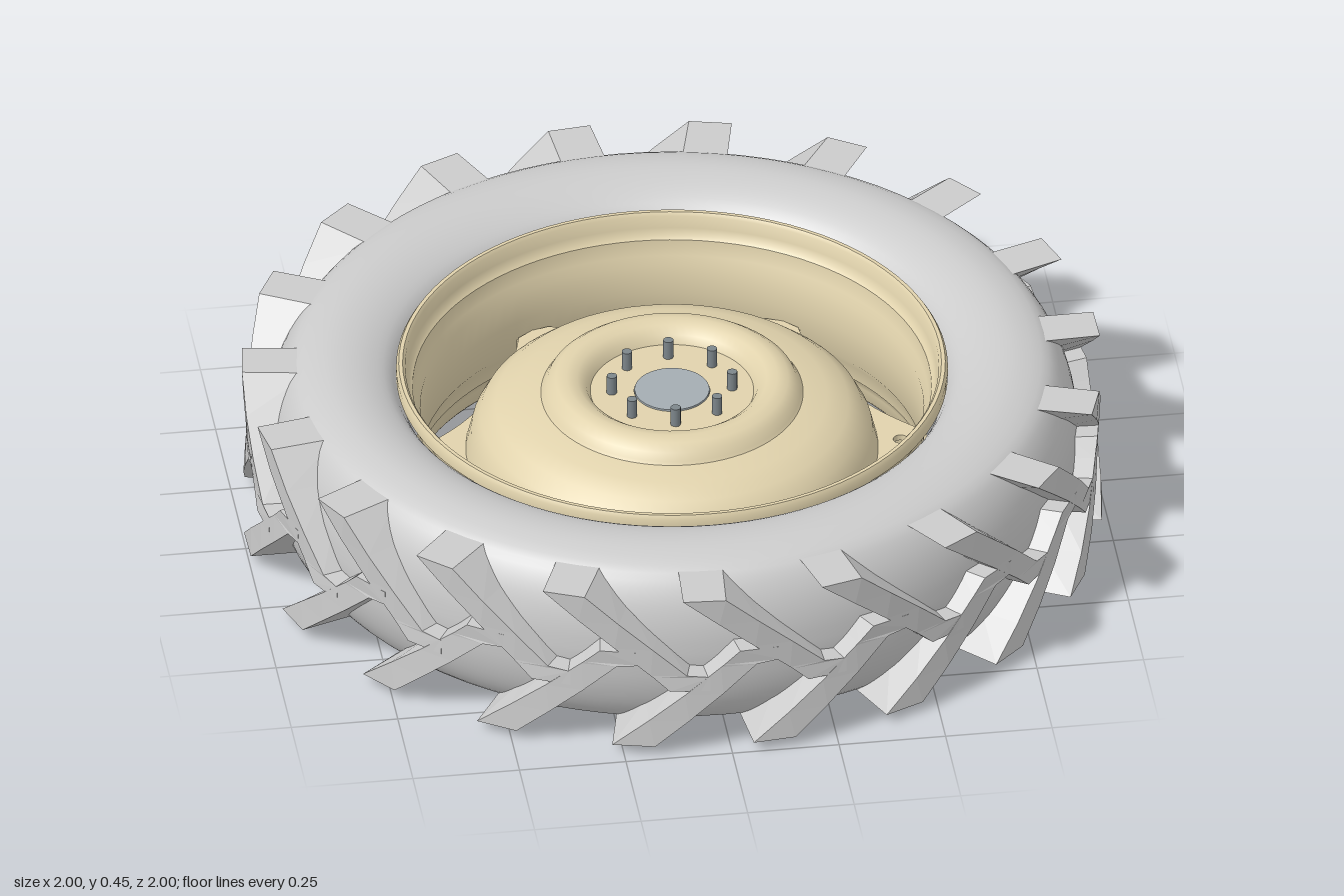
import * as THREE from 'three';
import { toCreasedNormals } from 'three/addons/utils/BufferGeometryUtils.js';

const MID = 0.2275; // height of the wheel's middle plane
const LUGS = 19;
const BOLT_ANGLE = 0.075;

const material = (color, side = THREE.FrontSide) => new THREE.MeshStandardMaterial({ color, side });
const rubber = material(0xcccccc);
const paint = material(0xe0d2ac, THREE.DoubleSide);
const steel = material(0xa4adb2);
const darkSteel = material(0x7d868b);

function add(parent, name, geometry, mat, x = 0, y = 0, z = 0) {
  const mesh = new THREE.Mesh(geometry, mat);
  mesh.name = name;
  mesh.position.set(x, y, z);
  parent.add(mesh);
  return mesh;
}

const toPoints = (list) => list.map(([r, y]) => new THREE.Vector2(r, y));

// Completes an upper half profile (middle plane first) with its mirror below
function mirrored(upper) {
  const lower = upper.slice(1).reverse().map((p) => new THREE.Vector2(p.x, 2 * MID - p.y));
  return [...lower, ...upper];
}

function hole(x, y, r) {
  return new THREE.Path().absarc(x, y, r, 0, Math.PI * 2, true);
}

// Flat plate from a shape drawn in x and z, its top at y = 0
function plate(shape, depth) {
  const geometry = new THREE.ExtrudeGeometry(shape, { depth, bevelEnabled: false, curveSegments: 16 });
  return geometry.rotateX(Math.PI / 2);
}

// Tread bar swept through level slices [height, start angle, end angle]
function lugGeometry(flip) {
  const slices = [
    [0.43, -0.05, 0.05], [0.36, 0.035, 0.13], [0.29, 0.12, 0.21],
    [0.217, 0.205, 0.29], [0.211, 0.212, 0.345], [0.175, 0.25, 0.345],
  ];
  const flare = 0.012;
  const positions = [];
  const index = [];
  slices.forEach(([y, a, b], i) => {
    const inner = 0.925 - 0.08 * Math.pow(Math.abs(y - MID) / 0.2, 3);
    const outer = 0.99 + 0.01 * Math.abs(y - MID) / 0.2;
    const ring = [[inner, a - flare], [outer, a], [outer, b], [inner, b + flare]];
    for (const [r, t] of ring) {
      positions.push(r * Math.sin(t), flip ? 2 * MID - y : y, r * Math.cos(t));
    }
    if (i === 0) return;
    for (let j = 0; j < 4; j++) {
      const k = (j + 1) % 4, up = (i - 1) * 4, down = i * 4;
      index.push(down + j, down + k, up + k, down + j, up + k, up + j);
    }
  });
  const e = (slices.length - 1) * 4;
  index.push(0, 1, 2, 0, 2, 3, e, e + 2, e + 1, e, e + 3, e + 2);
  if (flip) index.reverse();
  const indexed = new THREE.BufferGeometry();
  indexed.setAttribute('position', new THREE.Float32BufferAttribute(positions, 3));
  indexed.setIndex(index);
  const geometry = indexed.toNonIndexed();
  geometry.computeVertexNormals();
  return geometry;
}

function buildTyre() {
  const tyre = new THREE.Group();
  tyre.name = 'tyre';
  const side = new THREE.SplineCurve(toPoints([
    [0.945, MID], [0.94, 0.29], [0.925, 0.35], [0.9, 0.4], [0.865, 0.435],
    [0.8, 0.453], [0.74, 0.449], [0.69, 0.432], [0.655, 0.408], [0.632, 0.37],
  ])).getPoints(24);
  add(tyre, 'tyreBody', new THREE.LatheGeometry(mirrored(side), 96), rubber);

  // Two rows of bars, staggered by half a pitch
  const step = (Math.PI * 2) / LUGS;
  [false, true].forEach((flip) => {
    const geometry = lugGeometry(flip);
    for (let i = 0; i < LUGS; i++) {
      const lug = add(tyre, flip ? 'lowerLug' : 'upperLug', geometry, rubber);
      lug.rotation.y = -0.065 + (i + (flip ? 0.5 : 0)) * step;
    }
  });
  return tyre;
}

function buildRim() {
  const profile = toPoints([
    [0.585, MID], [0.585, 0.305], [0.597, 0.325], [0.603, 0.365], [0.61, 0.372],
    [0.616, 0.39], [0.62, 0.42], [0.626, 0.428], [0.635, 0.428], [0.641, 0.418], [0.641, 0.395],
  ]);
  return toCreasedNormals(new THREE.LatheGeometry(mirrored(profile), 96), 0.6);
}

// Six-eared ring that carries the dome
function buildEarPlate() {
  const polar = (r, a) => [r * Math.cos(a), r * Math.sin(a)];
  const shape = new THREE.Shape();
  const holes = [hole(0, 0, 0.465)];
  for (let i = 0; i < 6; i++) {
    const a = BOLT_ANGLE + (i * Math.PI) / 3;
    if (i === 0) shape.moveTo(...polar(0.578, a - 0.075));
    shape.lineTo(...polar(0.585, a));
    shape.lineTo(...polar(0.578, a + 0.075));
    shape.quadraticCurveTo(...polar(0.505, a + 0.22), ...polar(0.483, a + 0.36));
    shape.lineTo(...polar(0.48, a + Math.PI / 6));
    shape.lineTo(...polar(0.483, a + Math.PI / 3 - 0.36));
    shape.quadraticCurveTo(...polar(0.505, a + Math.PI / 3 - 0.22), ...polar(0.578, a + Math.PI / 3 - 0.075));
    holes.push(hole(...polar(0.532, a), 0.017));
  }
  shape.holes = holes;
  return plate(shape, 0.015);
}

// Channel clip joining one ear to the rim
function buildBracket() {
  const bracket = new THREE.Group();
  bracket.name = 'rimBracket';
  const tab = new THREE.Shape(toPoints([[0.5, -0.045], [0.585, -0.045], [0.585, 0.045], [0.5, 0.045]]));
  tab.holes.push(hole(0.532, 0, 0.017));
  add(bracket, 'bracketTab', plate(tab, 0.012), paint, 0, 0.145, 0);
  add(bracket, 'bracketBack', new THREE.BoxGeometry(0.012, 0.08, 0.09), paint, 0.579, 0.14, 0);
  for (const s of [-1, 1]) {
    add(bracket, 'bracketSide', new THREE.BoxGeometry(0.06, 0.045, 0.01), paint, 0.553, 0.155, s * 0.04);
  }
  return bracket;
}

function buildDisc() {
  const disc = new THREE.Group();
  disc.name = 'wheelDisc';
  // Dished centre: flat flange, raised ring, then a rounded shoulder
  const profile = toPoints([
    [0.483, 0.175], [0.477, 0.2], [0.466, 0.245], [0.445, 0.285], [0.41, 0.315], [0.36, 0.335],
    [0.305, 0.345], [0.3, 0.352], [0.29, 0.37], [0.27, 0.385], [0.245, 0.39], [0.22, 0.385],
    [0.2, 0.37], [0.19, 0.35], [0.088, 0.35],
  ]);
  add(disc, 'dome', toCreasedNormals(new THREE.LatheGeometry(profile, 72), 0.6), paint);
  add(disc, 'earPlate', buildEarPlate(), paint, 0, 0.19, 0);
  for (let i = 0; i < 6; i++) {
    const bracket = buildBracket();
    bracket.rotation.y = -BOLT_ANGLE - (i * Math.PI) / 3;
    disc.add(bracket);
  }
  return disc;
}

function buildHub() {
  const hub = new THREE.Group();
  hub.name = 'hub';
  add(hub, 'hubCap', new THREE.CylinderGeometry(0.087, 0.087, 0.02, 40), steel, 0, 0.344, 0);
  add(hub, 'hubDrum', new THREE.CylinderGeometry(0.183, 0.183, 0.075, 48), darkSteel, 0, 0.309, 0);
  add(hub, 'axleStub', new THREE.CylinderGeometry(0.047, 0.047, 0.07, 32), steel, 0, 0.245, 0);
  const stud = new THREE.CylinderGeometry(0.012, 0.012, 0.05, 12);
  for (let i = 0; i < 8; i++) {
    const a = 0.08 + (i * Math.PI) / 4;
    add(hub, 'wheelStud', stud, darkSteel, 0.14 * Math.cos(a), 0.372, 0.14 * Math.sin(a));
  }
  return hub;
}

export function createModel() {
  const wheel = new THREE.Group();
  wheel.name = 'tractorWheel';
  wheel.add(buildTyre(), buildDisc(), buildHub());
  add(wheel, 'rim', buildRim(), paint);
  return wheel;
}
